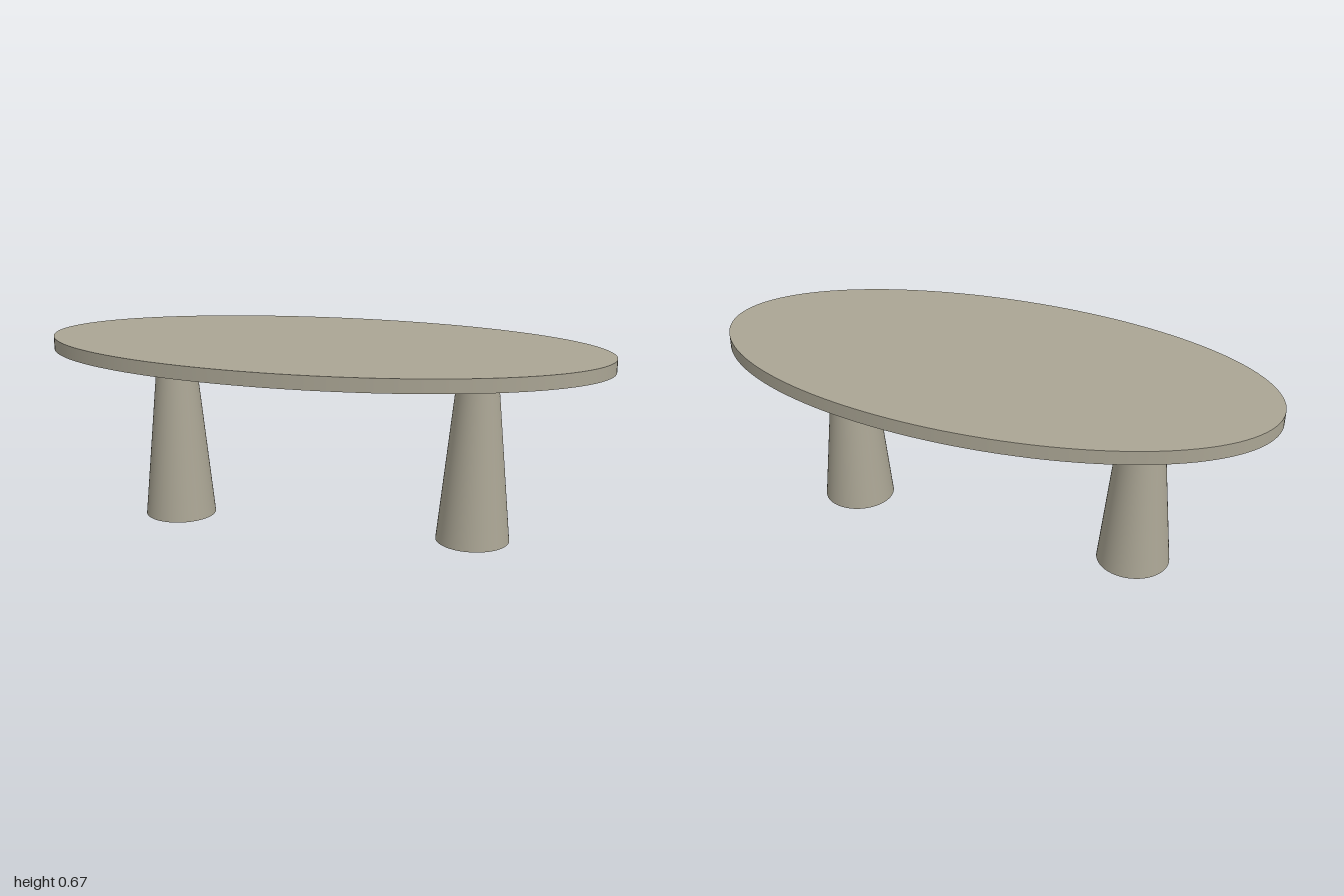
import * as THREE from 'three';

const stone = new THREE.MeshStandardMaterial({ color: 0xaaa594 });
stone.name = 'warm grey stone';

export function createModel() {
  const model = new THREE.Group();
  model.name = 'ovalTable';

  const add = (name, geometry, x, y) => {
    const mesh = new THREE.Mesh(geometry, stone);
    mesh.name = name;
    mesh.position.set(x, y, 0);
    model.add(mesh);
  };

  const legHeight = 0.625;
  const topThickness = 0.047;

  // Oval slab: a disc squashed along z
  const slab = new THREE.CylinderGeometry(1, 1, topThickness, 128).scale(1, 1, 0.506);
  add('tableTop', slab, 0, legHeight + topThickness / 2);

  // Two tapered round legs
  const leg = new THREE.CylinderGeometry(0.066, 0.129, legHeight, 64);
  add('leftLeg', leg, 0.547, legHeight / 2);
  add('rightLeg', leg, -0.55, legHeight / 2);

  return model;
}
